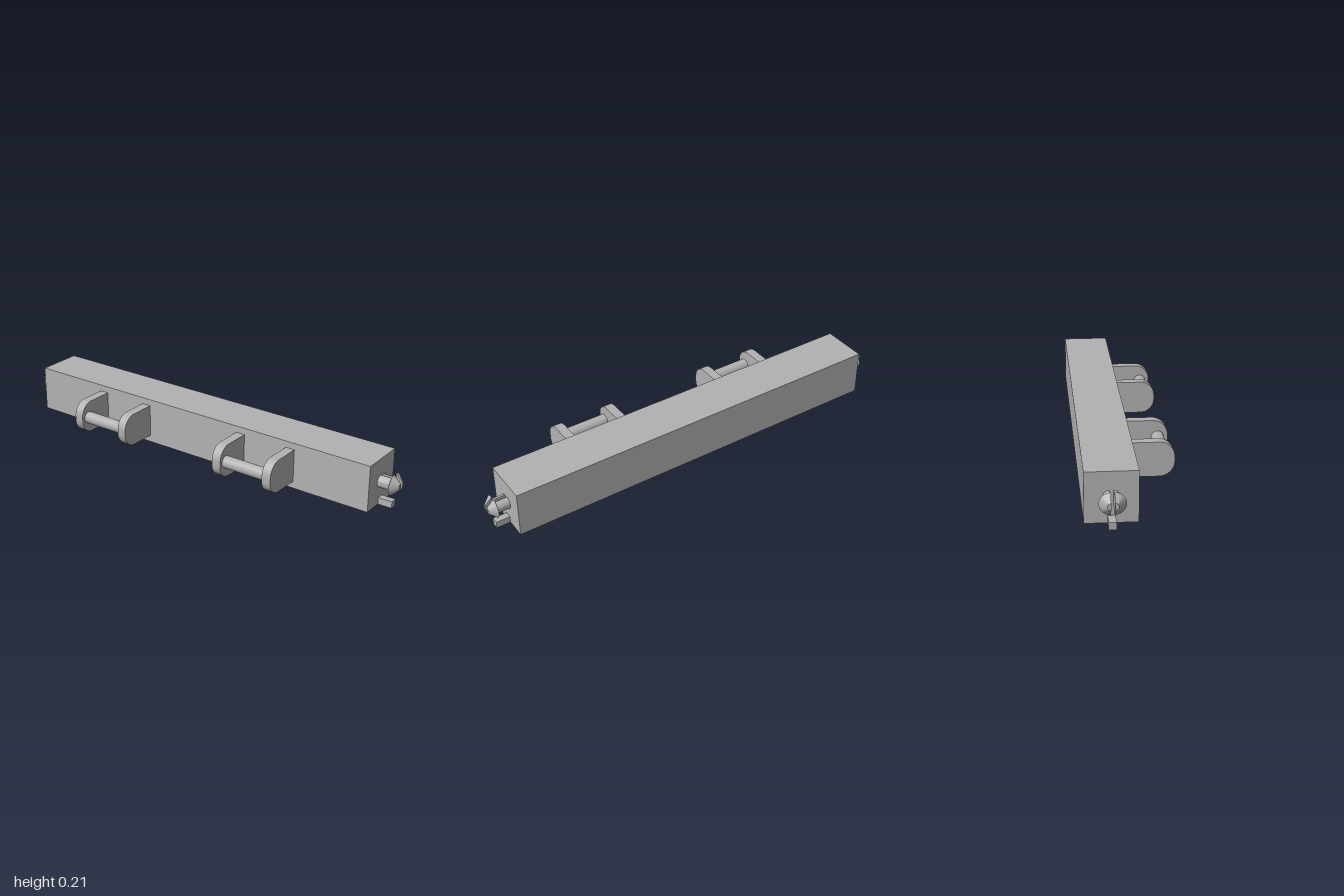
import * as THREE from 'three';
import { toCreasedNormals, mergeGeometries } from 'three/addons/utils/BufferGeometryUtils.js';

const grey = new THREE.MeshStandardMaterial({ color: 0xb2b2b2 });
grey.name = 'grey plastic';

const MID_Y = 0.107, BEAM_Z = -0.0905, BEAM_END = 0.907, BEAM_FRONT = 0.016;

function addMesh(parent, name, geometry, x = 0, y = 0, z = 0) {
  const mesh = new THREE.Mesh(geometry, grey);
  mesh.name = name;
  mesh.position.set(x, y, z);
  parent.add(mesh);
  return mesh;
}

// Side plate: square where it meets the beam, rounded at the free end
function lugGeometry() {
  const z0 = BEAM_FRONT, z1 = 0.199, y0 = 0.032, y1 = 0.183, r = 0.065, width = 0.043;
  const s = new THREE.Shape();
  s.moveTo(z0, y0);
  s.lineTo(z1 - r, y0);
  s.absarc(z1 - r, y0 + r, r, -Math.PI / 2, 0, false);
  s.absarc(z1 - r, y1 - r, r, 0, Math.PI / 2, false);
  s.lineTo(z0, y1);
  s.closePath();
  const g = new THREE.ExtrudeGeometry(s, { depth: width, bevelEnabled: false, curveSegments: 12 });
  g.translate(0, 0, -width / 2).rotateY(-Math.PI / 2);
  return toCreasedNormals(g, 0.5);
}

// One half of the split snap pin, axis along y, flat face towards -z
function pinHalfGeometry() {
  const profile = [[0, 0], [0.028, 0], [0.028, 0.061], [0.046, 0.061], [0.015, 0.093], [0, 0.093]]
    .map(([r, h]) => new THREE.Vector2(r, h));
  const round = new THREE.LatheGeometry(profile, 24, -Math.PI / 2, Math.PI);
  const mirrored = profile.slice(1, -1).reverse().map(p => new THREE.Vector2(-p.x, p.y));
  const flat = new THREE.ShapeGeometry(new THREE.Shape([...profile, ...mirrored])).rotateY(Math.PI);
  return toCreasedNormals(mergeGeometries([round.toNonIndexed(), flat.toNonIndexed()]), 0.5);
}

export function createModel() {
  const model = new THREE.Group();
  model.name = 'hingeBeam';

  addMesh(model, 'beam', new THREE.BoxGeometry(2 * BEAM_END, 0.213, 0.213), 0, 0.1065, BEAM_Z);

  const lug = lugGeometry();
  const rod = new THREE.CylinderGeometry(0.028, 0.028, 0.215, 32).rotateZ(Math.PI / 2);
  const pinHalf = pinHalfGeometry();

  for (const side of [-1, 1]) {
    const label = side > 0 ? 'left' : 'right';

    // Clip handle: two lugs joined by a rod
    const handle = new THREE.Group();
    handle.name = label + 'Handle';
    handle.position.x = side * 0.393;
    addMesh(handle, 'innerLug', lug, -side * 0.1285);
    addMesh(handle, 'outerLug', lug, side * 0.1285);
    addMesh(handle, 'rod', rod, 0, MID_Y, 0.156);
    model.add(handle);

    // Split snap pin on the end face
    const pin = new THREE.Group();
    pin.name = label + 'SnapPin';
    pin.position.set(side * BEAM_END, MID_Y, BEAM_Z);
    pin.rotation.z = -side * Math.PI / 2;
    addMesh(pin, 'frontHalf', pinHalf, 0, 0, 0.0075);
    addMesh(pin, 'backHalf', pinHalf, 0, 0, -0.0075).rotation.y = Math.PI;
    model.add(pin);

    // Locating tab under the pin
    addMesh(model, label + 'Tab', new THREE.BoxGeometry(0.064, 0.031, 0.031),
      side * (BEAM_END + 0.032), 0.0155, BEAM_Z);
  }
  return model;
}
